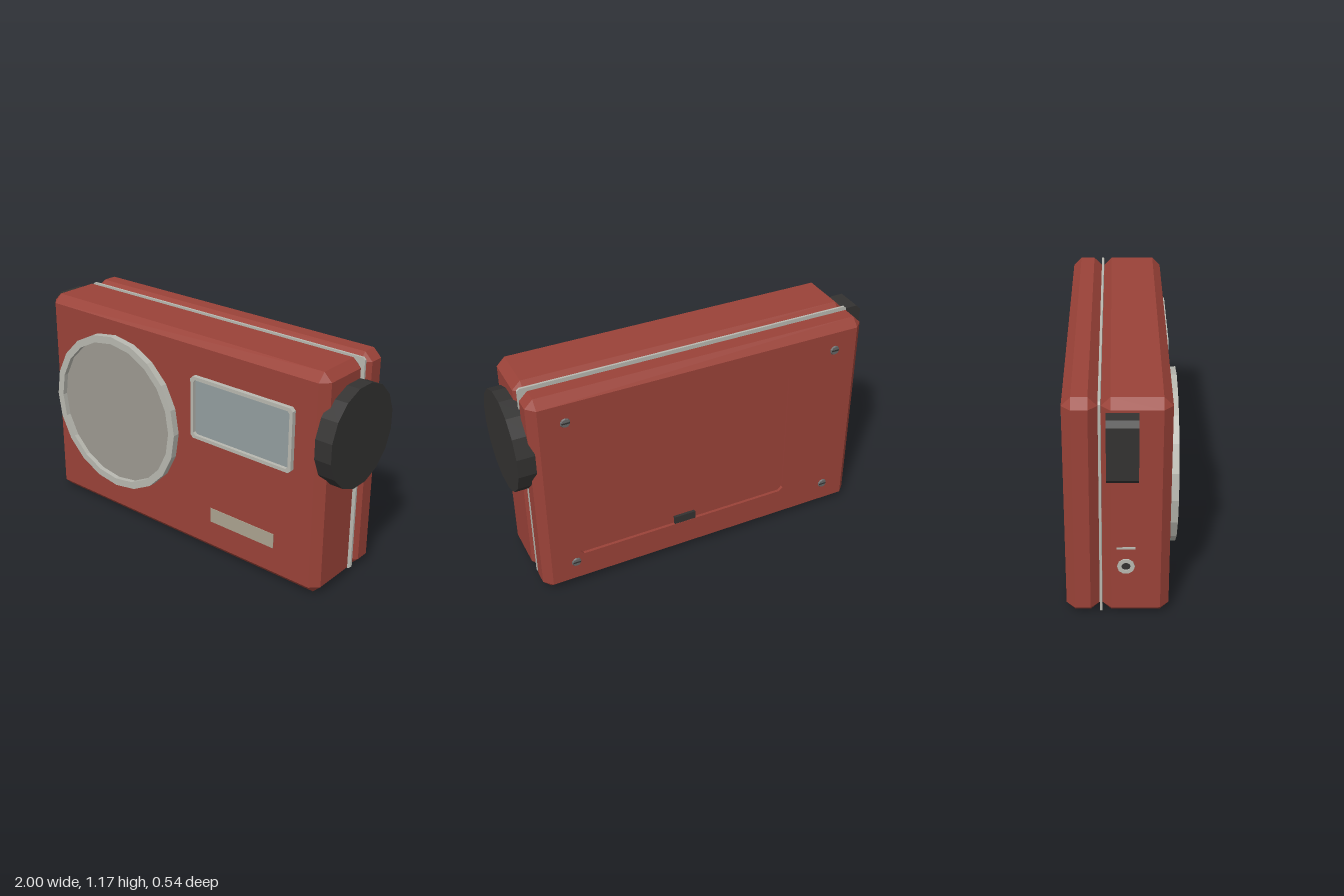
import * as THREE from 'three';

const mat = (color) => new THREE.MeshStandardMaterial({ color, flatShading: true, side: THREE.DoubleSide });
const RED = mat(0x9a4238), SILVER = mat(0xb8b8b0), GRILLE = mat(0x9c9991), GLASS = mat(0x939e9f);
const LABEL = mat(0xaba28f), BLACK = mat(0x333231), STEEL = mat(0x666666);

// Cross-section: rectangle with cut corners, counter-clockwise seen from +z
function ring(x0, x1, y0, y1, c, z) {
  return [[x1, y0 + c], [x1, y1 - c], [x1 - c, y1], [x0 + c, y1],
    [x0, y1 - c], [x0, y0 + c], [x0 + c, y0], [x1 - c, y0]].map(([x, y]) => [x, y, z]);
}

// Skin a list of rings (back to front) and cap both ends
function loft(rings) {
  const n = 8, last = (rings.length - 1) * n, index = [];
  for (let i = 0; i < rings.length - 1; i++) {
    for (let j = 0; j < n; j++) {
      const a = i * n + j, b = i * n + (j + 1) % n;
      index.push(a, b, b + n, a, b + n, a + n);
    }
  }
  for (let j = 1; j < n - 1; j++) index.push(0, j + 1, j, last, last + j, last + j + 1);
  const g = new THREE.BufferGeometry();
  g.setAttribute('position', new THREE.Float32BufferAttribute(rings.flat(2), 3));
  g.setIndex(index);
  const flat = g.toNonIndexed();
  flat.computeVertexNormals();
  return flat;
}

// Outline with cut corners, for extrusions
function cutRect(x0, x1, y0, y1, c, Type = THREE.Shape) {
  return new Type(ring(x0, x1, y0, y1, c, 0).map(([x, y]) => new THREE.Vector2(x, y)));
}

export function createModel() {
  const model = new THREE.Group();
  const add = (name, geometry, material, x = 0, y = 0, z = 0, parent = model) => {
    const m = new THREE.Mesh(geometry, material);
    m.name = name;
    m.position.set(x, y, z);
    parent.add(m);
    return m;
  };
  const box = (w, h, d) => new THREE.BoxGeometry(w, h, d);

  // Case halves with chamfered edges
  const C = 0.043, X0 = -0.89, X1 = 0.93, H = 1.17;
  const full = (z) => ring(X0, X1, 0, H, C, z);
  const inset = (z) => ring(X0 + C, X1 - C, C, H - C, 0, z);
  add('frontCase', loft([inset(-0.088), full(-0.045), full(0.19), inset(0.233)]), RED);

  // Rear half starts at the floor of the battery door recess
  const recess = (z) => ring(-0.46, 0.73, 0.19, 0.94, 0.02, z);
  add('backCase', loft([recess(-0.247), recess(-0.263), inset(-0.263), full(-0.22),
    full(-0.145), inset(-0.102)]), RED);
  add('doorCatch', box(0.12, 0.045, 0.016), BLACK, 0.135, 0.213, -0.254);

  // Thin metal plate between the halves
  const plate = new THREE.ExtrudeGeometry(cutRect(-0.883, 0.923, 0.008, 1.162, 0.012),
    { depth: 0.012, bevelEnabled: false });
  add('seamPlate', plate, SILVER, 0, 0, -0.101);

  // Speaker
  const speaker = new THREE.Group();
  speaker.name = 'speaker';
  speaker.position.set(-0.39, 0.615, 0.232);
  model.add(speaker);
  const rim = [[0.435, 0], [0.435, 0.038], [0.395, 0.038], [0.395, 0]];
  add('speakerRim', new THREE.LatheGeometry(rim.map((p) => new THREE.Vector2(...p)), 20)
    .rotateX(Math.PI / 2), SILVER, 0, 0, 0, speaker);
  add('speakerGrille', new THREE.CylinderGeometry(0.396, 0.396, 0.012, 20)
    .rotateX(Math.PI / 2), GRILLE, 0, 0, 0.006, speaker);

  // Display window
  const bezel = cutRect(0.147, 0.77, 0.64, 0.975, 0.015);
  bezel.holes.push(cutRect(0.165, 0.752, 0.658, 0.957, 0.012, THREE.Path));
  add('windowBezel', new THREE.ExtrudeGeometry(bezel, { depth: 0.025, bevelEnabled: false }),
    SILVER, 0, 0, 0.232);
  add('windowGlass', box(0.59, 0.302, 0.008), GLASS, 0.4585, 0.8075, 0.235);
  add('namePlate', box(0.405, 0.08, 0.006), LABEL, 0.465, 0.221, 0.233);

  // Large side knob
  add('sideKnob', new THREE.CylinderGeometry(0.262, 0.262, 0.092, 16).rotateY(Math.PI / 16)
    .rotateZ(-Math.PI / 2), BLACK, 0.954, 0.82, 0.012);

  // Strap lug with a rounded slot
  const lug = cutRect(-1, -0.885, 0.81, 1.125, 0.025);
  const slot = new THREE.Path();
  slot.absarc(-0.94, 1.033, 0.021, 0, Math.PI);
  slot.absarc(-0.94, 0.901, 0.021, Math.PI, 2 * Math.PI);
  slot.closePath();
  lug.holes.push(slot);
  add('strapLug', new THREE.ExtrudeGeometry(lug, { depth: 0.145, bevelEnabled: false, curveSegments: 6 }),
    BLACK, 0, 0, -0.065);

  // Jack socket and slot on the side
  const socket = [[0.042, 0], [0.042, 0.008], [0.022, 0.008], [0.022, 0]];
  add('jackRing', new THREE.LatheGeometry(socket.map((p) => new THREE.Vector2(...p)), 10)
    .rotateZ(Math.PI / 2), SILVER, -0.889, 0.292, 0.025);
  add('jackHole', new THREE.CylinderGeometry(0.022, 0.022, 0.004, 10)
    .rotateZ(Math.PI / 2), BLACK, -0.89, 0.292, 0.025);
  add('sideSlot', box(0.004, 0.01, 0.09), SILVER, -0.891, 0.395, 0.025);

  // Four slotted case screws
  for (const x of [-0.72, 0.755]) {
    for (const y of [0.15, 1.025]) {
      const screw = new THREE.Group();
      screw.name = 'caseScrew';
      screw.position.set(x, y, -0.265);
      model.add(screw);
      add('screwHead', new THREE.CylinderGeometry(0.027, 0.022, 0.008, 10)
        .rotateX(Math.PI / 2), STEEL, 0, 0, -0.001, screw);
      add('screwSlot', box(0.042, 0.008, 0.003), BLACK, 0, 0, -0.0045, screw);
    }
  }
  return model;
}
